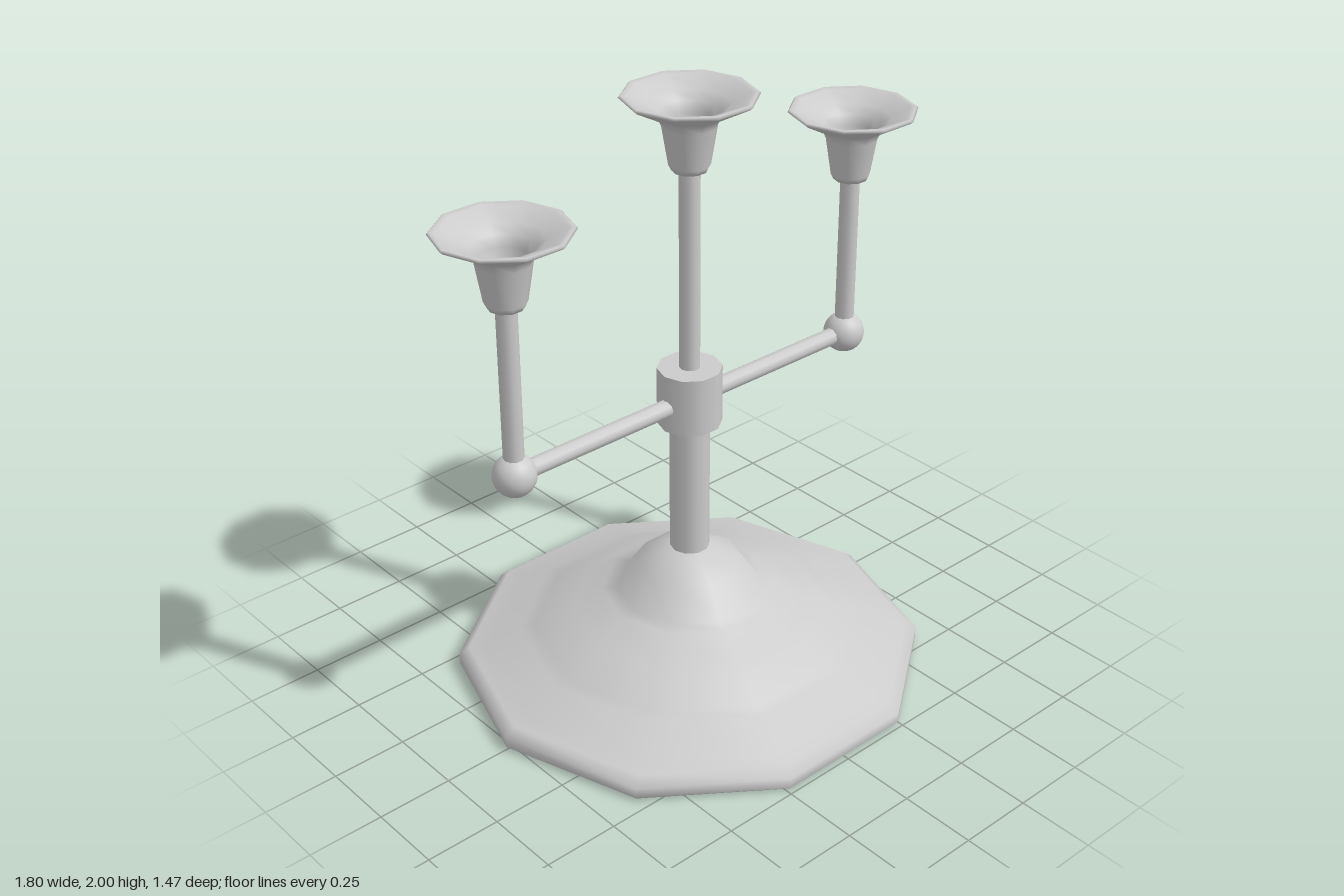
import * as THREE from 'three';

const SIDES = 10;
const material = new THREE.MeshStandardMaterial({ color: 0xcccccc });

function add(parent, name, geometry, x = 0, y = 0, z = 0) {
  const mesh = new THREE.Mesh(geometry, material);
  mesh.name = name;
  mesh.position.set(x, y, z);
  parent.add(mesh);
  return mesh;
}

// Ten-sided turned form with a corner on the x axis
const turned = (profile) => new THREE.LatheGeometry(
  profile.map(([r, y]) => new THREE.Vector2(r, y)), SIDES, Math.PI / 2);

// Ten-sided upright rod between two heights
function rod(parent, name, radius, y0, y1, x = 0) {
  const g = new THREE.CylinderGeometry(radius, radius, y1 - y0, SIDES, 1, false, Math.PI / 2);
  return add(parent, name, g, x, (y0 + y1) / 2);
}

// Flared cup, hollow inside, with its underside at y = 0
const cupGeometry = turned([
  [0, 0], [0.055, 0], [0.064, 0.018], [0.084, 0.14], [0.097, 0.168], [0.13, 0.186],
  [0.2, 0.224], [0.209, 0.232], [0.203, 0.238], [0.185, 0.235], [0.125, 0.206],
  [0.095, 0.182], [0.076, 0.15], [0.058, 0.035], [0, 0.03],
]);

export function createModel() {
  const model = new THREE.Group();
  model.name = 'candelabrum';

  // Stepped foot and its flat underside
  add(model, 'base', turned([
    [0.765, 0], [0.775, 0.01], [0.775, 0.045], [0.74, 0.072], [0.685, 0.075],
    [0.57, 0.14], [0.52, 0.143], [0.445, 0.21], [0.385, 0.212], [0.29, 0.28],
    [0.24, 0.283], [0.17, 0.385], [0.065, 0.44], [0, 0.442],
  ]));
  const underside = add(model, 'baseUnderside', new THREE.CircleGeometry(0.765, SIDES));
  underside.rotation.x = Math.PI / 2;

  // Central column, collar, stem and cup
  rod(model, 'column', 0.065, 0.42, 0.92);
  rod(model, 'collar', 0.104, 0.905, 1.1);
  rod(model, 'centreStem', 0.033, 1.09, 1.775);
  add(model, 'centreCup', cupGeometry, 0, 1.762);

  // Mirrored side branches
  for (const side of [-1, 1]) {
    const branch = new THREE.Group();
    branch.name = side > 0 ? 'leftBranch' : 'rightBranch';
    const x = 0.69 * side;
    const arm = add(branch, 'arm', new THREE.CylinderGeometry(0.03, 0.03, 0.69, SIDES), x / 2, 0.985);
    arm.rotation.z = Math.PI / 2;
    add(branch, 'elbowBall', new THREE.SphereGeometry(0.068, 24, 16), x, 0.985);
    rod(branch, 'stem', 0.032, 0.985, 1.585, x);
    add(branch, 'cup', cupGeometry, x, 1.54);
    model.add(branch);
  }
  return model;
}
